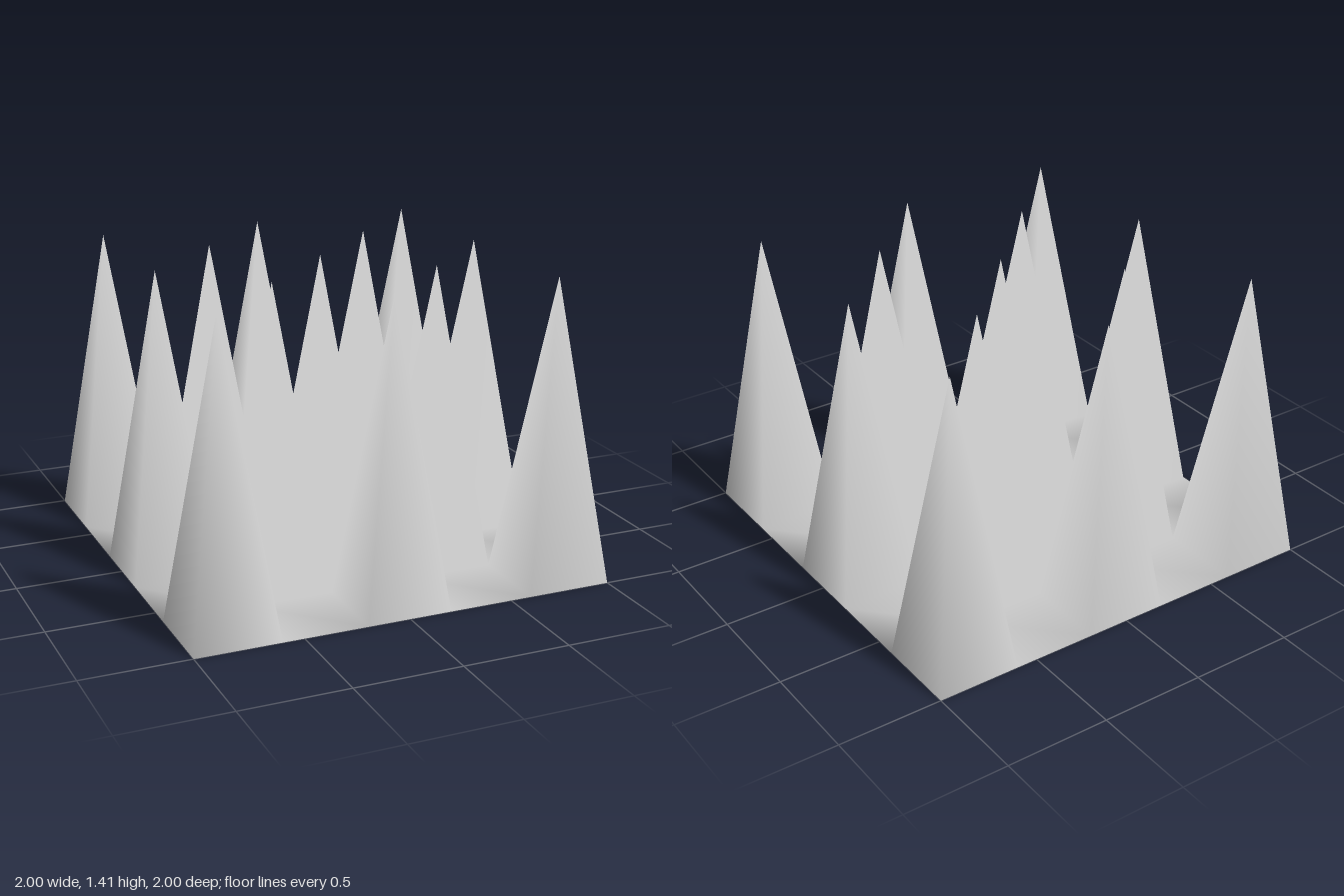
import * as THREE from 'three';

const CELLS = 5;       // cells per side
const SIZE = 2;        // side length of the sheet
const HEIGHT = 1.415;  // spike height

// One thin sheet: a checkerboard of hollow square spikes and flat cells,
// sharing vertices so the normals run smoothly across both.
export function createModel() {
  const group = new THREE.Group();
  group.name = 'spikedSheet';
  const step = SIZE / CELLS;
  const positions = [];
  const spikes = [];
  const flats = [];

  // Shared grid corners at ground level
  for (let j = 0; j <= CELLS; j++) {
    for (let i = 0; i <= CELLS; i++) {
      positions.push(i * step - SIZE / 2, 0, j * step - SIZE / 2);
    }
  }
  const corner = (i, j) => j * (CELLS + 1) + i;

  // Alternate open-bottomed spikes and flat squares
  for (let j = 0; j < CELLS; j++) {
    for (let i = 0; i < CELLS; i++) {
      const ring = [corner(i, j), corner(i, j + 1), corner(i + 1, j + 1), corner(i + 1, j)];
      if ((i + j) % 2 === 0) {
        const apex = positions.length / 3;
        positions.push((i + 0.5) * step - SIZE / 2, HEIGHT, (j + 0.5) * step - SIZE / 2);
        ring.forEach((v, k) => spikes.push(v, ring[(k + 1) % 4], apex));
      } else {
        flats.push(ring[0], ring[1], ring[2], ring[0], ring[2], ring[3]);
      }
    }
  }

  // Smooth normals over the whole sheet
  const sheet = new THREE.BufferGeometry();
  sheet.setAttribute('position', new THREE.Float32BufferAttribute(positions, 3));
  sheet.setIndex([...spikes, ...flats]);
  sheet.computeVertexNormals();

  const material = new THREE.MeshStandardMaterial({ color: 0xcccccc, side: THREE.DoubleSide });
  const addPart = (name, index) => {
    const geometry = new THREE.BufferGeometry();
    geometry.setAttribute('position', sheet.getAttribute('position'));
    geometry.setAttribute('normal', sheet.getAttribute('normal'));
    geometry.setIndex(index);
    const mesh = new THREE.Mesh(geometry, material);
    mesh.name = name;
    group.add(mesh);
  };
  addPart('spikes', spikes);
  addPart('flatCells', flats);
  return group;
}
